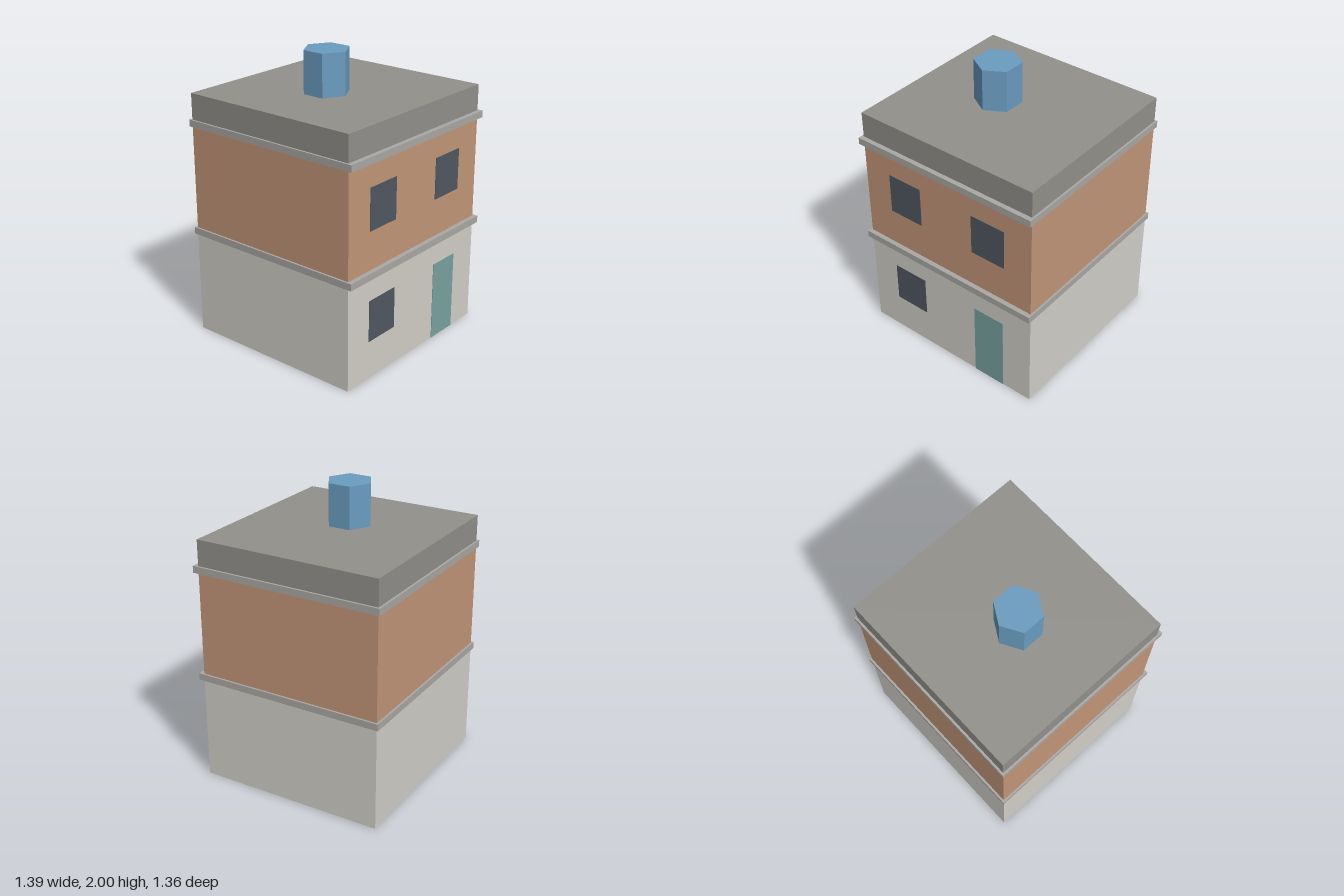
import * as THREE from 'three';

export function createModel() {
  const house = new THREE.Group();
  house.name = 'house';

  const WIDTH = 1.364, DEPTH = 1.314, MID_Z = -0.009;
  const FRONT_Z = MID_Z + DEPTH / 2;

  const paint = (color) => new THREE.MeshStandardMaterial({ color, flatShading: true });
  const stone = paint(0xd2cfc8);
  const brick = paint(0xc29678);
  const slate = paint(0x92908b);
  const trim = paint(0xa9a8a4);
  const glass = paint(0x505862);
  const teal = paint(0x78a2a0);
  const blue = paint(0x6a9cc0);

  const add = (name, geometry, material, x, y, z) => {
    const mesh = new THREE.Mesh(geometry, material);
    mesh.name = name;
    mesh.position.set(x, y, z);
    house.add(mesh);
  };

  // Full-width storey between two heights
  const storey = (name, y0, y1, material) =>
    add(name, new THREE.BoxGeometry(WIDTH, y1 - y0, DEPTH), material, 0, (y0 + y1) / 2, MID_Z);

  storey('groundFloor', 0, 0.745, stone);
  storey('upperFloor', 0.745, 1.507, brick);
  storey('roofBlock', 1.507, 1.71, slate);

  // Ledges between the storeys, reaching further out at the front
  [['lowerLedge', 0.744], ['upperLedge', 1.507]].forEach(([name, y]) =>
    add(name, new THREE.BoxGeometry(1.392, 0.047, 1.362), trim, 0, y, 0));

  // Thin panels on the front wall
  const panel = (name, w, h, material, x, y0) =>
    add(name, new THREE.BoxGeometry(w, h, 0.006), material, x, y0 + h / 2, FRONT_Z);

  panel('upperRightWindow', 0.262, 0.288, glass, -0.343, 1.03);
  panel('upperLeftWindow', 0.262, 0.288, glass, 0.342, 1.03);
  panel('lowerRightWindow', 0.262, 0.288, glass, -0.343, 0.267);
  panel('door', 0.239, 0.555, teal, 0.341, 0);

  // Six-sided chimney
  add('chimney', new THREE.CylinderGeometry(0.157, 0.157, 0.29, 6), blue, -0.102, 1.855, MID_Z);

  return house;
}
